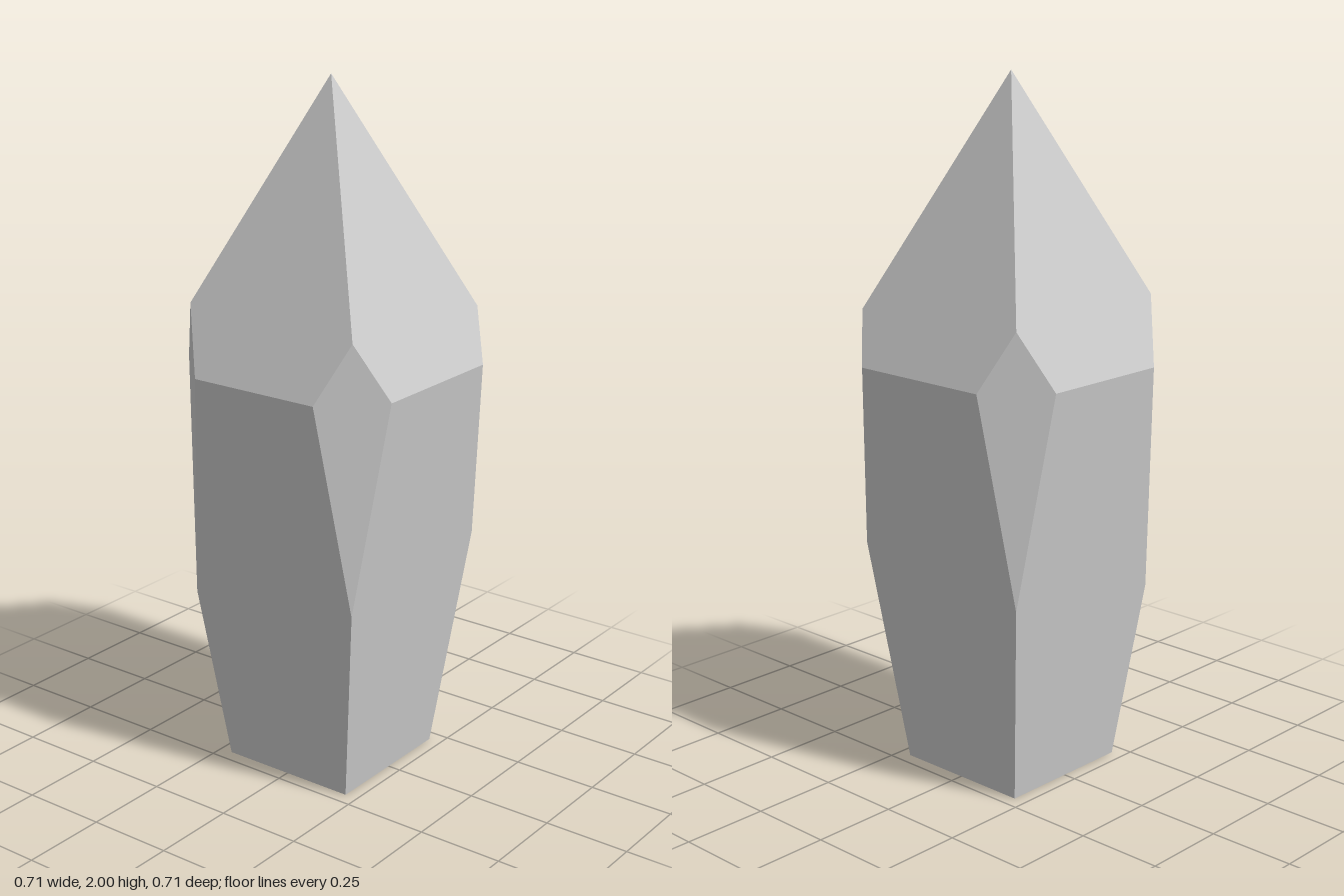
import * as THREE from 'three';

const BASE = 0.211, WIDE = 0.357;          // half widths at the foot and the shoulder
const SHOULDER = 1.2, TOP = 2;             // heights of the shoulder and the tip
const CUTS = [0.292, 0.2835, 0.275, 0.2835]; // distance of each corner cut, counterclockwise from front left

// Points of one corner, laid out at +x +z and turned into place
function makeCorner(cut, i) {
  const place = (x, y, z) =>
    new THREE.Vector3(x, y, z).applyAxisAngle(new THREE.Vector3(0, 1, 0), i * Math.PI / 2);
  const low = SHOULDER * (cut - BASE) / (WIDE - BASE);
  const high = TOP - (TOP - SHOULDER) * cut / WIDE;
  const near = 2 * cut - WIDE;
  return {
    foot: place(BASE, 0, BASE),
    low: place(cut, low, cut),
    before: place(near, SHOULDER, WIDE),
    after: place(WIDE, SHOULDER, near),
    high: place(cut, high, cut),
  };
}

// Flat-shaded mesh from convex polygons, each cut into a fan
function facetMesh(name, polygons, material) {
  const points = [];
  for (const p of polygons)
    for (let k = 1; k < p.length - 1; k++) points.push(p[0], p[k], p[k + 1]);
  const geometry = new THREE.BufferGeometry().setFromPoints(points);
  geometry.computeVertexNormals();
  const mesh = new THREE.Mesh(geometry, material);
  mesh.name = name;
  return mesh;
}

export function createModel() {
  const group = new THREE.Group();
  group.name = 'crystal';
  const material = new THREE.MeshStandardMaterial({ color: 0xcccccc, flatShading: true });
  const corners = CUTS.map(makeCorner);
  const tip = new THREE.Vector3(0, TOP, 0);
  const sides = [], roof = [], bevels = [];

  corners.forEach((a, i) => {
    const b = corners[(i + 1) % 4];
    sides.push([a.foot, b.foot, b.low, b.before, a.after, a.low]);
    roof.push([a.after, b.before, b.high, tip, a.high]);
    bevels.push([a.low, a.after, a.high, a.before]);
  });
  const bottom = corners.map((c) => c.foot).reverse();

  group.add(
    facetMesh('shaft', [...sides, bottom], material),
    facetMesh('point', roof, material),
    facetMesh('cornerFacets', bevels, material),
  );
  return group;
}
